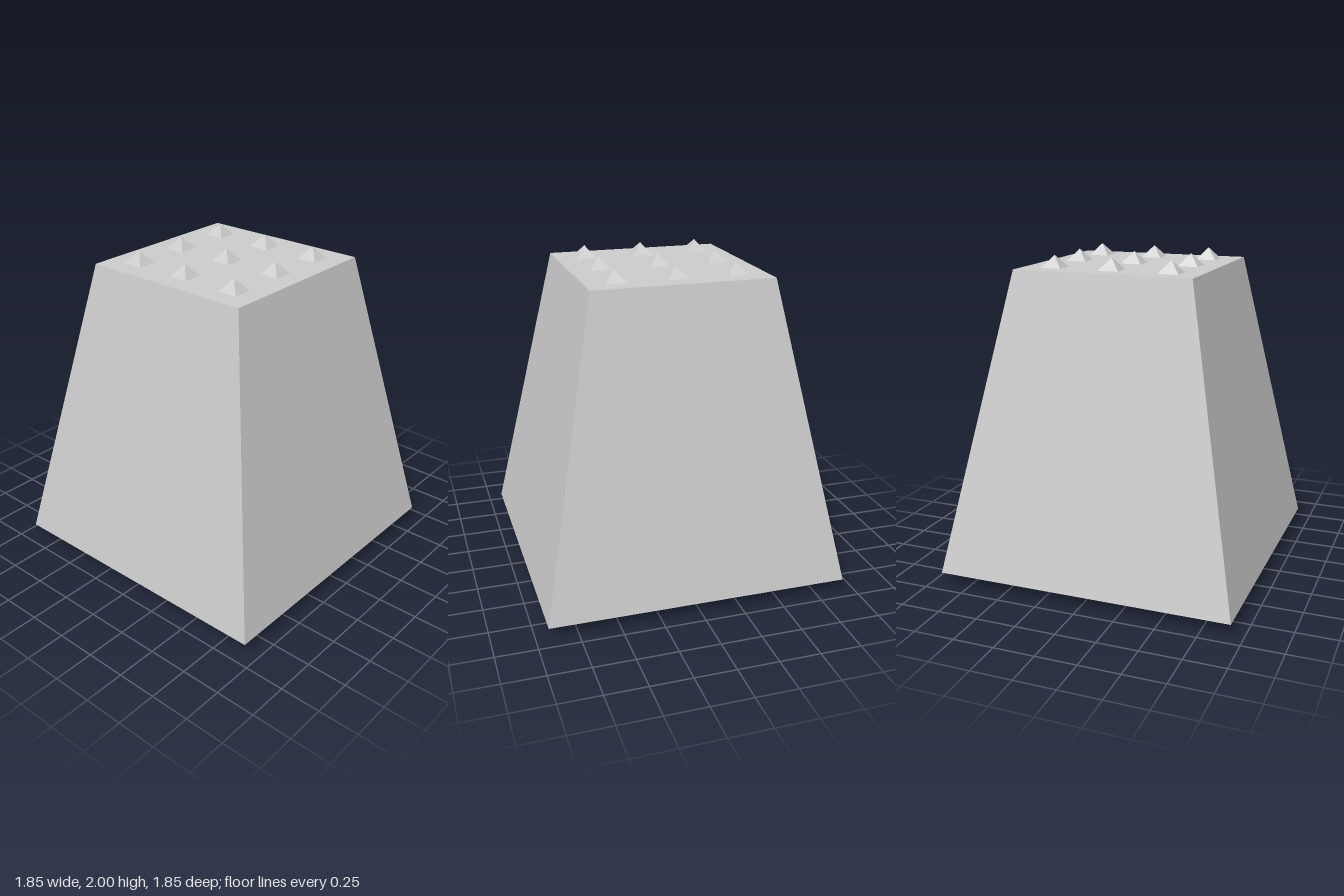
import * as THREE from 'three';

const BASE_Y = 0.074, TOP_Y = 1.926;      // body bottom and top
const BASE_HALF = 0.926, TOP_HALF = 0.556; // half widths of the body
const STUD_HALF = 0.063, STUD_H = 0.074, PITCH = 0.37;

export function createModel() {
  const model = new THREE.Group();
  const material = new THREE.MeshStandardMaterial({ color: 0xcccccc, flatShading: true });

  // Square frustum or pyramid with its sides square to the axes
  const squareTaper = (topHalf, bottomHalf, height) =>
    new THREE.CylinderGeometry(topHalf * Math.SQRT2, bottomHalf * Math.SQRT2, height, 4)
      .rotateY(Math.PI / 4);

  // Tapered body
  const body = new THREE.Mesh(squareTaper(TOP_HALF, BASE_HALF, TOP_Y - BASE_Y), material);
  body.name = 'body';
  body.position.y = (BASE_Y + TOP_Y) / 2;
  model.add(body);

  // Square grid of pyramid studs, pointing up or down
  const studGeometry = squareTaper(0, STUD_HALF, STUD_H).translate(0, STUD_H / 2, 0);
  const addStuds = (name, count, y, pointsDown) => {
    const group = new THREE.Group();
    group.name = name;
    const middle = (count - 1) / 2;
    for (let i = 0; i < count; i++) {
      for (let j = 0; j < count; j++) {
        const stud = new THREE.Mesh(studGeometry, material);
        stud.name = 'stud';
        stud.position.set((i - middle) * PITCH, y, (j - middle) * PITCH);
        if (pointsDown) stud.rotation.x = Math.PI;
        group.add(stud);
      }
    }
    model.add(group);
  };
  addStuds('topStuds', 3, TOP_Y, false);
  addStuds('bottomStuds', 5, BASE_Y, true);

  return model;
}
